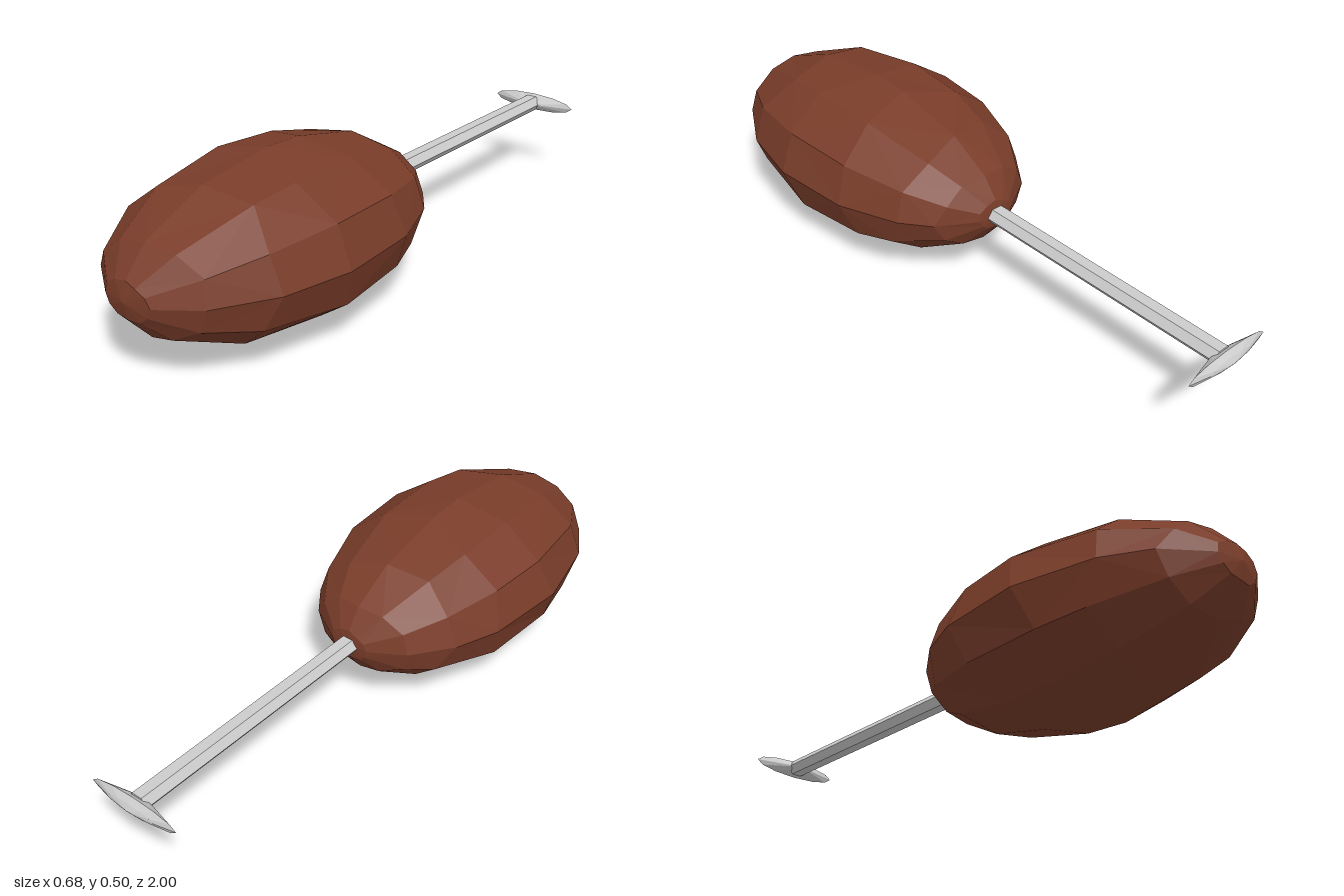
import * as THREE from 'three';

const AXIS_Y = 0.253;
const SIDES = 12;

// Faceted ellipsoid along z; ring points slide along it so the facets look hand cut
function facetedBody() {
  const latitudes = [-79, -61, -41, -18, 5, 30, 56, 77].map(THREE.MathUtils.degToRad);
  const ringPoint = (i, j) => {
    const a = ((j % SIDES) / SIDES) * Math.PI * 2;
    const wobble = 0.07 * Math.sin(2 * a + i * 1.7) + 0.04 * Math.sin(5 * a + i * 2.3);
    const lat = latitudes[i] + wobble * Math.cos(latitudes[i]);
    const r = Math.cos(lat);
    return [0.345 * r * Math.cos(a), 0.25 * r * Math.sin(a), 0.445 + 0.555 * Math.sin(lat)];
  };
  const pos = [];
  const last = latitudes.length - 1;
  for (let j = 0; j < SIDES; j++) {
    pos.push(...[0, 0, -0.11], ...ringPoint(0, j + 1), ...ringPoint(0, j));
    pos.push(...[0, 0, 1], ...ringPoint(last, j), ...ringPoint(last, j + 1));
    for (let i = 0; i < last; i++) {
      const a = ringPoint(i, j), b = ringPoint(i, j + 1);
      const c = ringPoint(i + 1, j + 1), d = ringPoint(i + 1, j);
      // alternate the diagonals
      if ((i + j) % 2) pos.push(...a, ...b, ...c, ...a, ...c, ...d);
      else pos.push(...a, ...b, ...d, ...b, ...c, ...d);
    }
  }
  const geometry = new THREE.BufferGeometry();
  geometry.setAttribute('position', new THREE.Float32BufferAttribute(pos, 3));
  geometry.computeVertexNormals();
  return geometry;
}

export function createModel() {
  const group = new THREE.Group();
  const brown = new THREE.MeshStandardMaterial({ color: 0x7a3d2a, flatShading: true });
  const grey = new THREE.MeshStandardMaterial({ color: 0xcccccc, flatShading: true });
  const add = (name, geometry, material) => {
    const mesh = new THREE.Mesh(geometry, material);
    mesh.name = name;
    mesh.position.y = AXIS_Y;
    group.add(mesh);
  };

  add('body', facetedBody(), brown);

  // Six-sided rod, flat on top, running back from the body
  const rod = new THREE.CylinderGeometry(1, 1, 0.95, 6);
  rod.rotateY(Math.PI / 6).rotateX(Math.PI / 2);
  rod.scale(0.035, 0.028, 1).translate(0, 0, -0.485);
  add('rod', rod, grey);

  // Flattened lens-shaped grip across the end of the rod
  const profile = [[0, -0.055], [0.26, -0.055], [1, -0.026], [0.55, -0.011], [0, 0]]
    .map(([r, h]) => new THREE.Vector2(r, h));
  const grip = new THREE.LatheGeometry(profile, 12);
  grip.rotateX(-Math.PI / 2).scale(0.155, 0.03, 1).translate(0, 0, -1);
  // bring the outer cap to the rearmost plane
  add('gripEnd', grip, grey);

  return group;
}
